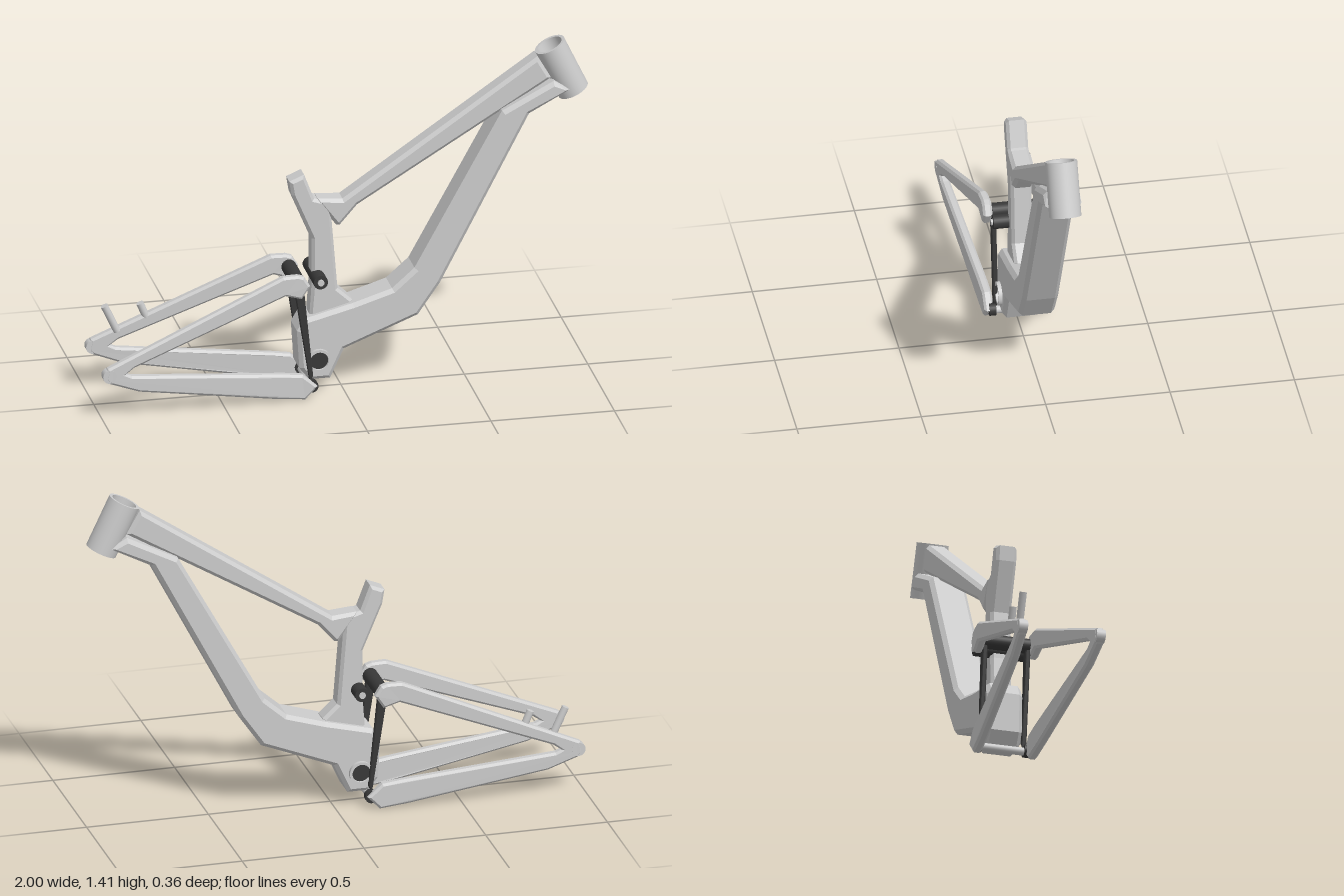
import * as THREE from 'three';

const grey = new THREE.MeshStandardMaterial({ color: 0xcccccc, flatShading: true });
const smooth = new THREE.MeshStandardMaterial({ color: 0xcccccc });
const dark = new THREE.MeshStandardMaterial({ color: 0x383838 });

function add(parent, name, geometry, material) {
  const mesh = new THREE.Mesh(geometry, material);
  mesh.name = name;
  parent.add(mesh);
  return mesh;
}

// Side outline extruded across z with chamfered edges, centred on z = 0
function plate(points, width, bevel) {
  const shape = new THREE.Shape(points.map(([x, y]) => new THREE.Vector2(x, y)));
  const g = new THREE.ExtrudeGeometry(shape, {
    depth: width - 2 * bevel, bevelThickness: bevel, bevelSize: bevel,
    bevelOffset: -bevel, bevelSegments: 1,
  });
  return g.translate(0, 0, -width / 2 + bevel);
}

// Cylinder lying along z
function pin(parent, name, x, y, z, radius, length, material) {
  const g = new THREE.CylinderGeometry(radius, radius, length, 24).rotateX(Math.PI / 2);
  add(parent, name, g, material).position.set(x, y, z);
}

// Open tube with wall thickness along y; corners repeated for crisp rims
function ring(outer, inner, length) {
  const h = length / 2;
  const p = [[inner, -h], [outer, -h], [outer, -h], [outer, h], [outer, h], [inner, h], [inner, h], [inner, -h]];
  return new THREE.LatheGeometry(p.map(([r, y]) => new THREE.Vector2(r, y)), 40);
}

// Sideways position of the stays: splayed at the back, parallel at the pivots
const stayZ = x => 0.114 + 0.046 * THREE.MathUtils.clamp((-0.2 - x) / 0.78, 0, 1);

export function createModel() {
  const frame = new THREE.Group();
  frame.name = 'bicycleFrame';

  add(frame, 'downTube', plate([
    [-0.19, 0.27], [-0.18, 0.11], [-0.14, 0.06], [-0.055, 0.06], [0, 0.18], [0.30, 0.30],
    [0.39, 0.43], [0.75, 1.12], [0.92, 1.21], [0.85, 1.25], [0.64, 1.14], [0.286, 0.50],
    [0.195, 0.42], [0.035, 0.37], [-0.16, 0.32],
  ], 0.146, 0.016), grey);

  add(frame, 'topTube', plate([
    [-0.10, 0.80], [-0.025, 0.70], [-0.01, 0.70], [0.06, 0.78], [0.845, 1.255],
    [0.79, 1.35], [0, 0.81], [-0.10, 0.818],
  ], 0.088, 0.014), grey);

  add(frame, 'seatTube', plate([
    [-0.215, 0.90], [-0.205, 0.84], [-0.125, 0.65], [-0.125, 0.45], [-0.135, 0.30], [0.04, 0.34],
    [0.04, 0.375], [-0.02, 0.43], [-0.05, 0.80], [-0.115, 0.82], [-0.155, 0.925],
  ], 0.084, 0.012), grey);

  const head = add(frame, 'headTube', ring(0.064, 0.052, 0.222), smooth);
  head.position.set(0.893, 1.283, 0);
  head.rotation.z = 0.444;

  // Bottom bracket shell with a dark bore
  const shell = add(frame, 'bottomBracket', ring(0.048, 0.037, 0.176), smooth);
  shell.position.set(-0.105, 0.145, 0);
  shell.rotation.x = Math.PI / 2;
  pin(frame, 'bottomBracketBore', -0.105, 0.145, 0, 0.038, 0.154, dark);

  // Pivot shafts
  pin(frame, 'upperStayPivot', -0.19, 0.485, 0, 0.03, 0.19, dark);
  pin(frame, 'shockPivot', -0.103, 0.488, 0, 0.029, 0.21, dark);
  pin(frame, 'shockPivotBolt', -0.103, 0.488, 0, 0.013, 0.225, smooth);
  pin(frame, 'lowerStayPivot', -0.14, 0.047, 0, 0.016, 0.19, smooth);

  for (const side of [1, -1]) {
    const label = side > 0 ? 'left' : 'right';

    // Seat stay and chain stay joined at the dropout, sheared to splay outwards
    const stay = plate([
      [-0.99, 0.172], [-0.97, 0.155], [-0.85, 0.11], [-0.285, 0.016], [-0.17, 0.003], [-0.12, 0.055],
      [-0.18, 0.107], [-0.26, 0.118], [-0.88, 0.18], [-0.905, 0.19], [-0.87, 0.215], [-0.25, 0.452],
      [-0.185, 0.432], [-0.15, 0.485], [-0.175, 0.525], [-0.20, 0.533], [-0.26, 0.533], [-0.98, 0.22],
    ], 0.038, 0.009);
    const p = stay.attributes.position;
    for (let i = 0; i < p.count; i++) p.setZ(i, p.getZ(i) + side * stayZ(p.getX(i)));
    stay.computeVertexNormals();
    add(frame, label + 'RearStays', stay, grey);
    pin(frame, label + 'Dropout', -0.972, 0.188, side * 0.16, 0.028, 0.036, smooth);

    // Rocker link between the upper and lower pivots
    const link = plate([[-0.212, 0.49], [-0.145, 0.06], [-0.132, 0.09], [-0.172, 0.49]], 0.02, 0.004);
    add(frame, label + 'Link', link, dark).position.z = side * 0.088;
    pin(frame, label + 'LowerPivotCap', -0.14, 0.05, side * 0.1, 0.026, 0.026, dark);
  }

  // Brake mount posts on the right seat stay
  for (const [x0, y0, x1, y1] of [[-0.875, 0.25, -0.927, 0.362], [-0.757, 0.30, -0.783, 0.362]]) {
    const dx = x1 - x0, dy = y1 - y0;
    const post = add(frame, 'brakeMount',
      new THREE.CylinderGeometry(0.015, 0.015, Math.hypot(dx, dy), 20), smooth);
    post.position.set((x0 + x1) / 2, (y0 + y1) / 2, -0.142);
    post.rotation.z = Math.atan2(-dx, dy);
  }
  return frame;
}
